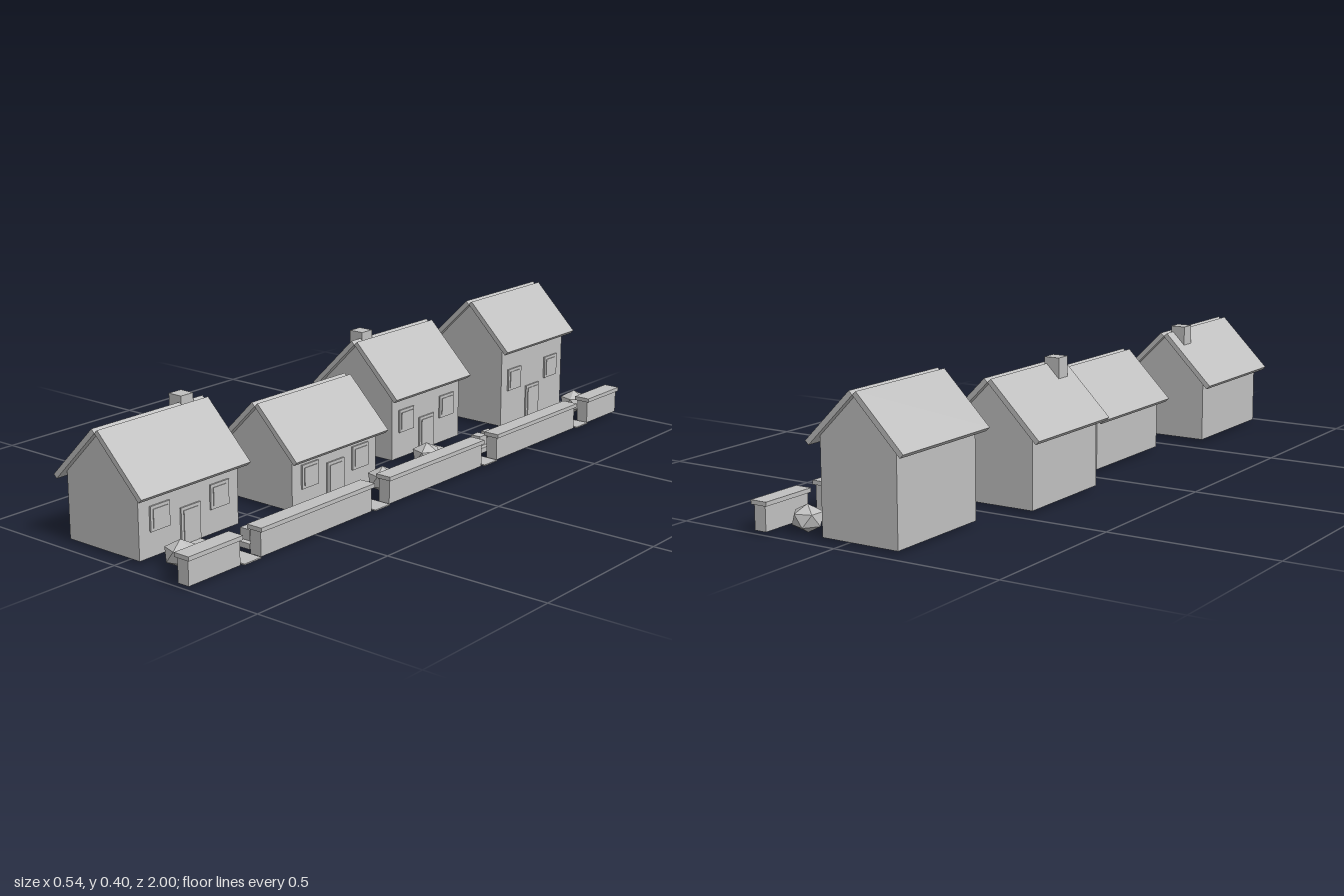
import * as THREE from 'three';

const stone = new THREE.MeshStandardMaterial({ color: 0xc0c0c0, flatShading: true });
stone.name = 'pale grey';

const BASE = 0.008; // ground level of walls and paths

function add(parent, name, geometry, x = 0, y = 0, z = 0) {
  const mesh = new THREE.Mesh(geometry, stone);
  mesh.name = name;
  mesh.position.set(x, y, z);
  parent.add(mesh);
  return mesh;
}

// Box given by its lower and upper corners
function block(parent, name, [x0, y0, z0], [x1, y1, z1]) {
  return add(parent, name, new THREE.BoxGeometry(x1 - x0, y1 - y0, z1 - z0),
    (x0 + x1) / 2, (y0 + y1) / 2, (z0 + z1) / 2);
}

// Gabled house facing +x, centred on its own ridge
function house({ x, z, half, depth, apex, run, chimney }) {
  const g = new THREE.Group();
  g.name = 'house';
  g.position.set(x, 0, z);
  const eave = apex - half;

  // Walls with gable ends
  const outline = new THREE.Shape([
    [-half, BASE], [half, BASE], [half, eave], [0, apex], [-half, eave],
  ].map(([px, py]) => new THREE.Vector2(px, py)));
  const walls = new THREE.ExtrudeGeometry(outline, { depth, bevelEnabled: false });
  add(g, 'walls', walls, 0, 0, -depth / 2);

  // Two roof slabs meeting at their lower edges along the ridge
  const thick = 0.015, n = thick / Math.SQRT2;
  for (const s of [-1, 1]) {
    const slab = add(g, 'roofSlab',
      new THREE.BoxGeometry(run * Math.SQRT2, thick, depth + 0.036),
      s * (run + n) / 2, apex - run / 2 + n / 2);
    slab.rotation.z = -s * Math.PI / 4;
  }

  // Chimney on the rear slope
  if (chimney) {
    const cz = chimney.z - z;
    block(g, 'chimney', [-0.051, chimney.top - 0.09, cz - 0.023], [-0.004, chimney.top, cz + 0.023]);
  }

  // Door with raised panel
  block(g, 'doorFrame', [half - 0.004, BASE, -0.036], [half + 0.005, 0.114, 0.036]);
  block(g, 'doorPanel', [half, BASE, -0.027], [half + 0.007, 0.105, 0.027]);

  // Windows either side of the door
  const wy = BASE + 0.55 * (eave - BASE);
  for (const s of [-1, 1]) {
    const wz = s * 0.3 * depth;
    block(g, 'windowFrame', [half - 0.004, wy - 0.035, wz - 0.035], [half + 0.005, wy + 0.035, wz + 0.035]);
    block(g, 'windowPane', [half, wy - 0.026, wz - 0.026], [half + 0.007, wy + 0.026, wz + 0.026]);
  }
  return g;
}

// Faceted shrub standing on one point
function bush(parent, x, z) {
  const geo = new THREE.IcosahedronGeometry(0.0465, 0);
  geo.rotateZ(-Math.atan(2 / (1 + Math.sqrt(5))));
  geo.scale(1, 0.83, 1);
  add(parent, 'bush', geo, x, 0.0386, z);
}

// Low bed with two square plants
function planter(parent, x, z) {
  block(parent, 'planterBed', [x - 0.032, BASE, z - 0.06], [x + 0.032, 0.024, z + 0.06]);
  for (const s of [-1, 1]) {
    const pz = z + s * 0.026;
    block(parent, 'plant', [x - 0.017, 0.02, pz - 0.017], [x + 0.017, 0.055, pz + 0.017]);
  }
}

export function createModel() {
  const root = new THREE.Group();
  root.name = 'cottageRow';

  const plots = [
    { x: -0.086, z: 0.769, half: 0.1325, depth: 0.37, apex: 0.3315, run: 0.155, bushX: 0.141, side: 1, chimney: { z: 0.631, top: 0.36 } },
    { x: -0.023, z: 0.237, half: 0.12, depth: 0.365, apex: 0.294, run: 0.143, bushX: 0.166, side: -1 },
    { x: -0.108, z: -0.282, half: 0.132, depth: 0.335, apex: 0.3505, run: 0.154, bushX: 0.127, side: 1, chimney: { z: -0.162, top: 0.38 } },
    { x: -0.048, z: -0.785, half: 0.12, depth: 0.342, apex: 0.394, run: 0.1435, bushX: 0.153, side: -1 },
  ];

  // Houses with their front gardens
  for (const p of plots) {
    root.add(house(p));
    block(root, 'path', [p.x + p.half, BASE, p.z - 0.032], [0.272, 0.0115, p.z + 0.032]);
    bush(root, p.bushX, p.z + p.side * 0.13);
    planter(root, p.bushX + 0.033, p.z - p.side * 0.118);
  }

  // Boundary wall, broken by a gateway at every path
  const ends = [1, ...plots.flatMap(p => [p.z + 0.034, p.z - 0.034]), -1];
  for (let i = 0; i < ends.length; i += 2) {
    const [z1, z0] = [ends[i], ends[i + 1]];
    block(root, 'gardenWall', [0.227, BASE, z0 + 0.005], [0.264, 0.078, z1 - 0.005]);
    block(root, 'wallCap', [0.22, 0.078, z0], [0.271, 0.09, z1]);
  }
  return root;
}
